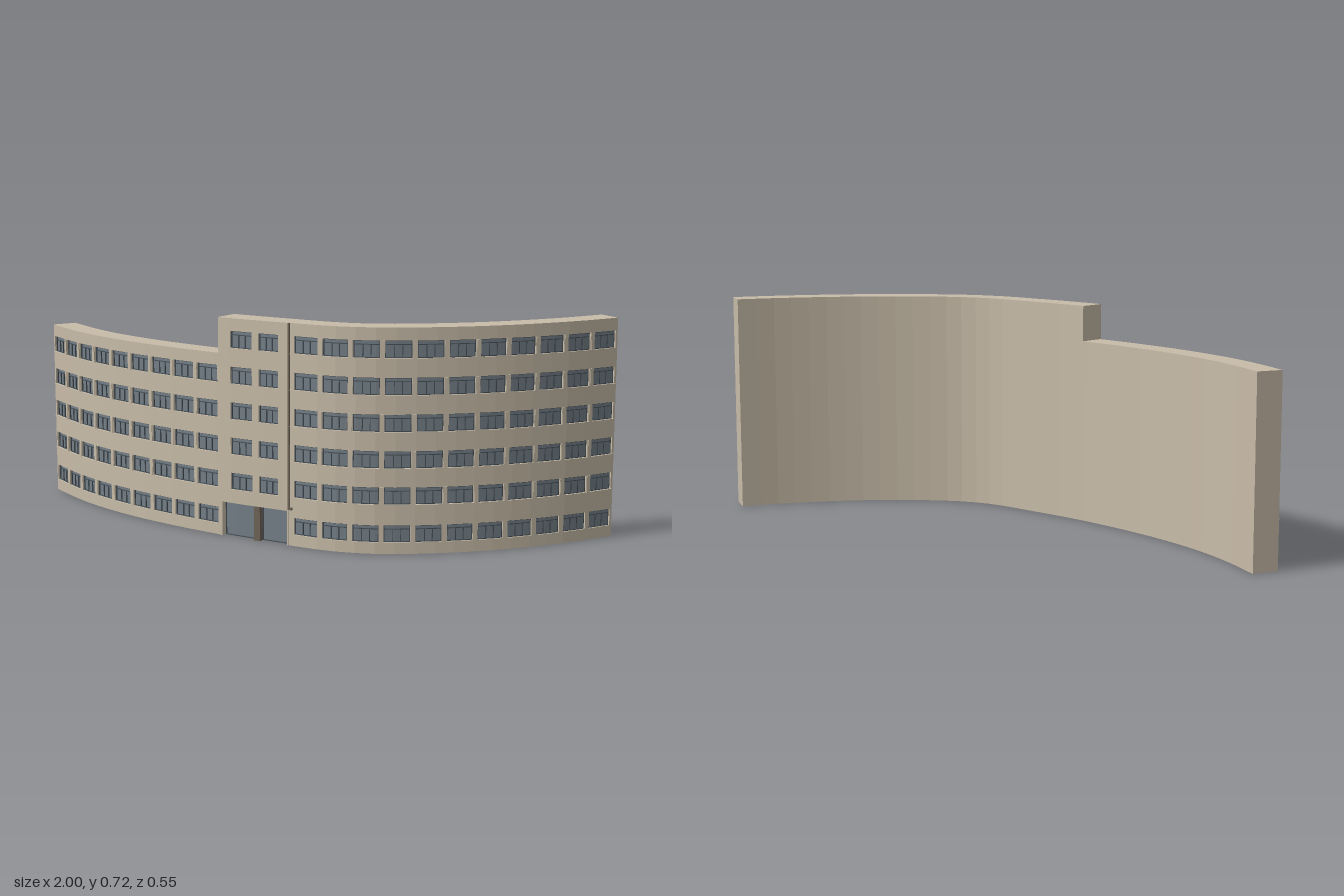
import * as THREE from 'three';
import { mergeGeometries } from 'three/addons/utils/BufferGeometryUtils.js';

// Front line of the building in plan (x, z)
const PLAN = [[-1, -0.21], [-0.862, -0.099], [-0.72, -0.008], [-0.5, 0.096], [-0.2, 0.195], [0.05, 0.247],
  [0.14, 0.264], [0.23, 0.27], [0.32, 0.26], [0.4, 0.237], [0.56, 0.163], [0.72, 0.06], [0.893, -0.09], [1, -0.21]];
const SEGMENTS = 36, DEPTH = 0.084, RECESS = 0.012;
const FLOOR = 0.1155, WINDOW_H = 0.055;
const rowBottom = (f) => (f === 0 ? 0.037 : 0.043 + f * FLOOR);

export function createModel() {
  const model = new THREE.Group();
  const wallMat = new THREE.MeshStandardMaterial({ color: 0xc8bca8 });
  const glassMat = new THREE.MeshStandardMaterial({ color: 0x747f87 });
  const frameMat = new THREE.MeshStandardMaterial({ color: 0x465058 });
  const brownMat = new THREE.MeshStandardMaterial({ color: 0x6e6456 });
  wallMat.name = 'wall';
  glassMat.name = 'glass';
  frameMat.name = 'dark frame';
  brownMat.name = 'brown trim';

  // Evenly spaced stations along the front line, with outward normals
  const curve = new THREE.CatmullRomCurve3(PLAN.map(([x, z]) => new THREE.Vector3(x, 0, z)), false, 'centripetal');
  const length = curve.getLength();
  const stations = [];
  for (let i = 0; i <= SEGMENTS; i++) {
    const p = curve.getPointAt(i / SEGMENTS), t = curve.getTangentAt(i / SEGMENTS);
    stations.push({ p, n: new THREE.Vector3(-t.z, 0, t.x) });
  }
  const step = length / SEGMENTS;

  // Point at distance s along the front line, d outwards and y up
  function at(s, d, y) {
    const i = Math.min(SEGMENTS - 1, Math.max(0, Math.floor(s / step)));
    const k = s / step - i;
    const p = stations[i].p.clone().lerp(stations[i + 1].p, k);
    const n = stations[i].n.clone().lerp(stations[i + 1].n, k);
    return p.addScaledVector(n, d).setY(y);
  }

  // Distance along the front line where it reaches a given x
  function distanceAt(x) {
    let lo = 0, hi = length;
    for (let i = 0; i < 40; i++) {
      const mid = (lo + hi) / 2;
      if (at(mid, 0, 0).x < x) lo = mid; else hi = mid;
    }
    return lo;
  }

  // Solid bar that follows the curve
  function bar(s0, s1, y0, y1, d0, d1) {
    const cuts = [s0];
    for (let i = 1; i < SEGMENTS; i++) {
      if (i * step > s0 + 1e-4 && i * step < s1 - 1e-4) cuts.push(i * step);
    }
    cuts.push(s1);
    const rings = cuts.map((s) => [at(s, d0, y0), at(s, d1, y0), at(s, d1, y1), at(s, d0, y1)]);
    const points = [];
    const quad = (a, b, c, d) => points.push(a, b, c, a, c, d);
    for (let i = 0; i < rings.length - 1; i++) {
      for (let j = 0; j < 4; j++) {
        const k = (j + 1) % 4;
        quad(rings[i][j], rings[i + 1][j], rings[i + 1][k], rings[i][k]);
      }
    }
    quad(...rings[0]);
    quad(...rings[rings.length - 1].slice().reverse());
    const geo = new THREE.BufferGeometry().setFromPoints(points);
    geo.computeVertexNormals();
    return geo;
  }

  function add(group, name, geos, material) {
    const mesh = new THREE.Mesh(mergeGeometries(geos), material);
    mesh.name = name;
    group.add(mesh);
  }

  // Glass pane in a slim outer frame
  function addPane(parts, a, b, y0, y1, back) {
    const f = 0.0025;
    parts.glass.push(bar(a, b, y0, y1, back, back + 0.002));
    const frame = (...r) => parts.frames.push(bar(...r, back, back + 0.006));
    frame(a, b, y0, y0 + f);
    frame(a, b, y1 - f, y1);
    frame(a, a + f, y0, y1);
    frame(b - f, b, y0, y1);
    return frame;
  }

  // Framed pane with transom and two lower mullions
  function addWindow(parts, a, b, y0, y1, back) {
    const t = y0 + (y1 - y0) * 0.74;
    const frame = addPane(parts, a, b, y0, y1, back);
    frame(a, b, t, t + 0.0025);
    for (const k of [0.35, 0.65]) {
      const m = a + (b - a) * k;
      frame(m - 0.0013, m + 0.0013, y0, t);
    }
  }

  // Facade with true recessed openings; bays lists [start, end] of each window
  function facade(name, s0, s1, height, floors, firstFloor, bays, out, ribbon) {
    const group = new THREE.Group();
    group.name = name;
    const parts = { walls: [], trim: [], glass: [], frames: [] };
    const back = out - RECESS;
    let y = firstFloor ? 0.113 : 0;
    parts.walls.push(bar(s0, s1, y, height, -DEPTH, back));
    for (let f = firstFloor; f < floors; f++) {
      const y0 = rowBottom(f), y1 = y0 + WINDOW_H;
      parts.walls.push(bar(s0, s1, y, y0, back, out));
      const edges = [s0, ...bays.flat(), s1];
      for (let i = 0; i < edges.length; i += 2) {
        parts.walls.push(bar(edges[i], edges[i + 1], y0, y1, back, out));
        // Pilasters between the upper windows
        if (ribbon && f > 0 && i > 0 && i < edges.length - 2) {
          const m = (edges[i] + edges[i + 1]) / 2;
          parts.trim.push(bar(m - 0.006, m + 0.006, y0, y1, out, out + 0.002));
        }
      }
      if (ribbon && f > 0) parts.trim.push(bar(s0, s1, y0 - 0.003, y0, out, out + 0.002));
      for (const [a, b] of bays) addWindow(parts, a, b, y0, y1, back);
      y = y1;
    }
    parts.walls.push(bar(s0, s1, y, height, back, out));
    add(group, 'walls', parts.walls, wallMat);
    if (parts.trim.length) add(group, 'sillsAndPilasters', parts.trim, wallMat);
    add(group, 'windowGlass', parts.glass, glassMat);
    add(group, 'windowFrames', parts.frames, frameMat);
    model.add(group);
  }

  const evenBays = (s0, s1, n) => Array.from({ length: n }, (_, i) => {
    const pitch = (s1 - s0) / n;
    return [s0 + pitch * (i + 0.08), s0 + pitch * (i + 0.92)];
  });

  const towerL = distanceAt(-0.205), towerR = distanceAt(0.05);
  facade('lowWing', 0, towerL, 0.6, 5, 0, evenBays(0, towerL, 9), 0, true);
  facade('highWing', towerR, length, 0.716, 6, 0, evenBays(towerR + 0.012, length, 11), 0, true);
  const towerBays = [[-0.16, -0.08], [-0.056, 0.015]].map((r) => r.map(distanceAt));
  facade('tower', towerL, towerR, 0.716, 6, 1, towerBays, 0.004, false);

  // Recessed glazed entrance under the tower
  const entrance = new THREE.Group();
  entrance.name = 'entrance';
  const pillarL = distanceAt(-0.075), pillarR = distanceAt(-0.053);
  const jambL = distanceAt(-0.194), jambR = distanceAt(0.046);
  const doors = { glass: [], frames: [] };
  addPane(doors, jambL, pillarL, 0, 0.113, -0.02);
  addPane(doors, pillarR, jambR, 0, 0.113, -0.02);
  add(entrance, 'entranceWalls', [
    bar(towerL, towerR, 0, 0.113, -DEPTH, -0.02),
    bar(towerL, jambL, 0, 0.113, -0.02, 0.004),
    bar(jambR, towerR, 0, 0.113, -0.02, 0.004),
  ], wallMat);
  add(entrance, 'entrancePillar', [bar(pillarL, pillarR, 0, 0.113, -0.02, 0.004)], brownMat);
  add(entrance, 'entranceGlass', doors.glass, glassMat);
  add(entrance, 'entranceFrames', doors.frames, frameMat);
  model.add(entrance);

  // Downpipe in the corner between tower and high wing
  add(model, 'downpipe', [
    bar(towerR, towerR + 0.006, 0.125, 0.716, 0, 0.005),
    bar(towerR, towerR + 0.014, 0.117, 0.125, 0, 0.005),
  ], brownMat);

  return model;
}
